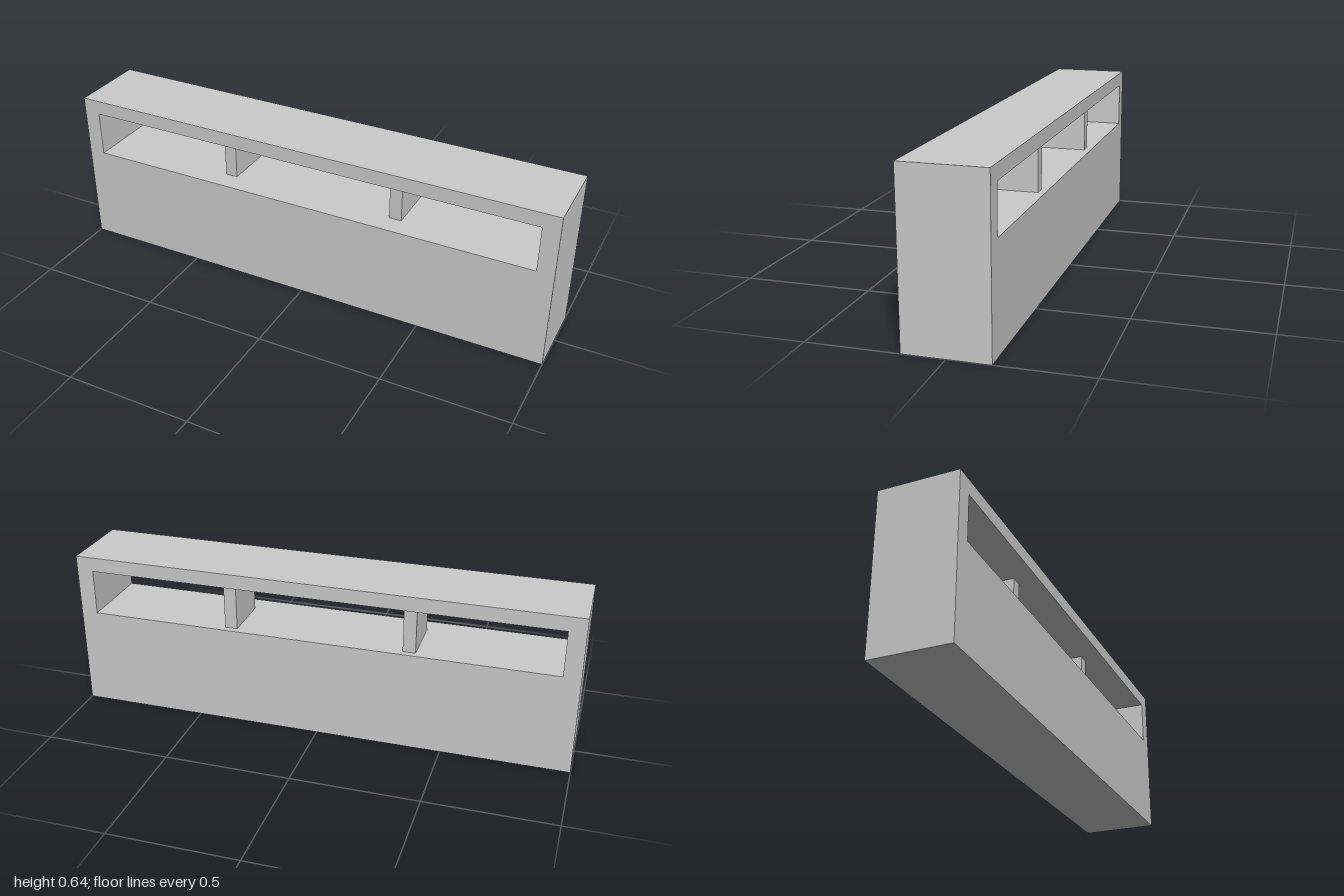
import * as THREE from 'three';

const WIDTH = 2, HEIGHT = 0.64, DEPTH = 0.313;
const SILL = 0.4, LINTEL = 0.582, OPENING = 0.933; // opening bottom, top, half width

function rectangle(path, x, y0, y1) {
  path.moveTo(-x, y0);
  path.lineTo(x, y0);
  path.lineTo(x, y1);
  path.lineTo(-x, y1);
  path.closePath();
  return path;
}

export function createModel() {
  const group = new THREE.Group();
  group.name = 'slottedBlock';
  const material = new THREE.MeshStandardMaterial({ color: 0xcccccc, flatShading: true });

  // Solid body with one long opening running through it
  const outline = rectangle(new THREE.Shape(), WIDTH / 2, 0, HEIGHT);
  outline.holes.push(rectangle(new THREE.Path(), OPENING, SILL, LINTEL));
  const bodyGeometry = new THREE.ExtrudeGeometry(outline, { depth: DEPTH, bevelEnabled: false });
  bodyGeometry.translate(0, 0, -DEPTH / 2);
  const body = new THREE.Mesh(bodyGeometry, material);
  body.name = 'body';
  group.add(body);

  // Two dividers, set back from the front more than from the rear
  const front = 0.073, back = -0.13;
  const dividerGeometry = new THREE.BoxGeometry(0.05, LINTEL - SILL, front - back);
  for (const side of [-1, 1]) {
    const divider = new THREE.Mesh(dividerGeometry, material);
    divider.name = side > 0 ? 'leftDivider' : 'rightDivider';
    divider.position.set(side * 0.359, (SILL + LINTEL) / 2, (front + back) / 2);
    group.add(divider);
  }
  return group;
}
